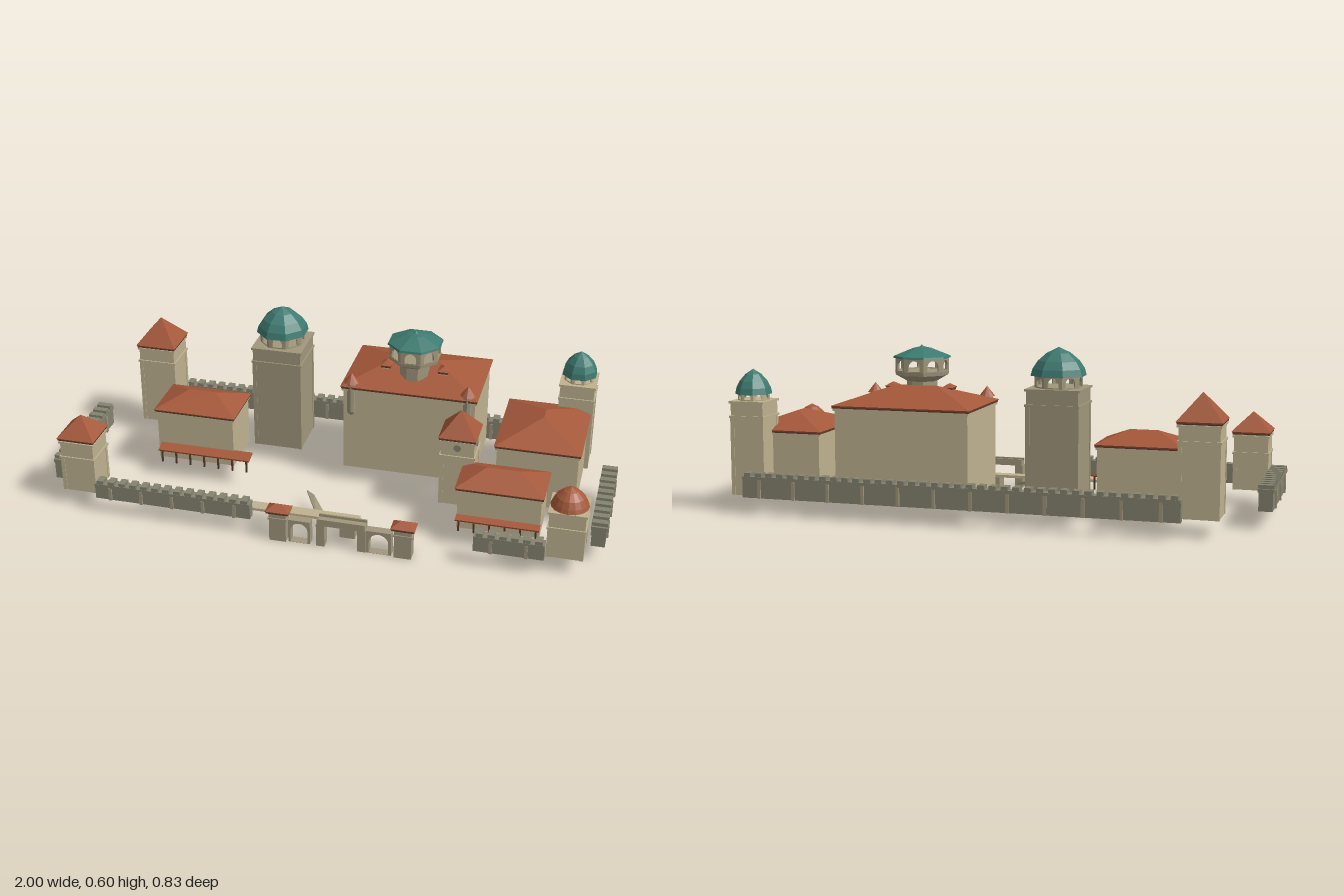
import * as THREE from 'three';
import { ConvexGeometry } from 'three/addons/geometries/ConvexGeometry.js';

const mat = (color) => new THREE.MeshStandardMaterial({ color, flatShading: true });
const stone = mat(0xbfb290), darkStone = mat(0xa1977c), wallStone = mat(0x85836f);
const tile = mat(0xa4583a), teal = mat(0x3d7a70), trim = mat(0x5a3a2a);
const GROUND = 0.06;

function add(parent, name, geometry, material, x = 0, y = 0, z = 0, ry = 0) {
  const m = new THREE.Mesh(geometry, material);
  m.name = name;
  m.position.set(x, y, z);
  m.rotation.y = ry;
  parent.add(m);
  return m;
}

function group(parent, name, x = 0, z = 0) {
  const g = new THREE.Group();
  g.name = name;
  g.position.set(x, 0, z);
  parent.add(g);
  return g;
}

// Box resting on y0 and reaching y1
const block = (p, name, m, w, d, y0, y1, x = 0, z = 0) =>
  add(p, name, new THREE.BoxGeometry(w, y1 - y0, d), m, x, (y0 + y1) / 2, z);

// Hipped roof, or a pyramid when the plan is square
function hipRoof(p, w, d, y0, y1, x = 0, z = 0) {
  const e = 0.006, pts = [];
  for (const sx of [-1, 1]) for (const sz of [-1, 1]) {
    pts.push(new THREE.Vector3(sx * w / 2, e, sz * d / 2));
    pts.push(new THREE.Vector3(sx * (w / 2 - 0.004), 0, sz * (d / 2 - 0.004)));
  }
  const rx = Math.max(0, (w - d) / 2), rz = Math.max(0, (d - w) / 2);
  pts.push(new THREE.Vector3(rx, y1 - y0, rz));
  if (rx + rz > 0.001) pts.push(new THREE.Vector3(-rx, y1 - y0, -rz));
  add(p, 'roof', new ConvexGeometry(pts), tile, x, y0, z);
  block(p, 'eaves', trim, w - 0.006, d - 0.006, y0 - 0.003, y0 + 0.001, x, z);
}

// Upright panel with an arched opening; its foot is at y = 0
function archPanel(w, h, openW, openH, depth, sill = 0.001) {
  const s = new THREE.Shape([[-w / 2, 0], [w / 2, 0], [w / 2, h], [-w / 2, h]].map((a) => new THREE.Vector2(...a)));
  const r = openW / 2, hole = new THREE.Path();
  hole.moveTo(-r, sill);
  hole.lineTo(-r, openH - r);
  hole.absarc(0, openH - r, r, Math.PI, 0, true);
  hole.lineTo(r, sill);
  hole.closePath();
  s.holes.push(hole);
  return new THREE.ExtrudeGeometry(s, { depth, bevelEnabled: false, curveSegments: 6 }).translate(0, 0, -depth / 2);
}

// Eight-sided ring of arches; a is the distance to a flat side
function arcade(p, a, y0, y1, m) {
  const h = y1 - y0, w = 2 * a * Math.tan(Math.PI / 8);
  const geo = archPanel(w, h, w * 0.58, h * 0.84, 0.008, h * 0.1);
  for (let i = 0; i < 8; i++) {
    const t = i * Math.PI / 4;
    add(p, 'arch', geo, m, Math.sin(t) * (a - 0.004), y0, Math.cos(t) * (a - 0.004), t);
  }
}

// Eight-sided turned form with flats facing the axes
function octagon(p, name, m, profile) {
  const k = 1 / Math.cos(Math.PI / 8);
  const geo = new THREE.LatheGeometry(profile.map(([r, y]) => new THREE.Vector2(r * k, y)), 8, Math.PI / 8);
  return add(p, name, geo, m);
}

function dome(p, r, y0, y1) {
  const h = y1 - y0;
  octagon(p, 'dome', teal, [[0, y0], [r, y0], [r * 0.93, y0 + h * 0.25], [r * 0.75, y0 + h * 0.52],
    [r * 0.42, y0 + h * 0.8], [r * 0.1, y0 + h * 0.95], [0, y1]]);
}

// Square shaft with string courses and corner strips
function shaft(p, w, top, bands, m) {
  block(p, 'shaft', m, w, w, GROUND, top);
  for (const y of bands) block(p, 'stringCourse', m, w + 0.01, w + 0.01, y, y + 0.008);
  for (const sx of [-1, 1]) for (const sz of [-1, 1])
    block(p, 'cornerStrip', m, 0.014, 0.014, GROUND, bands[0], sx * (w / 2 - 0.005), sz * (w / 2 - 0.005));
}

function roofTower(root, name, x, z, w, eave, top, bands, m) {
  const g = group(root, name, x, z);
  shaft(g, w, eave, bands, m);
  hipRoof(g, w + 0.017, w + 0.017, eave, top);
  return g;
}

function domeTower(root, name, x, z, w, deck, spring, top, r, m) {
  const g = group(root, name, x, z);
  shaft(g, w, deck, [deck - 0.06, deck - 0.008], m);
  arcade(g, r * 0.86, deck, spring, m);
  octagon(g, 'lanternCore', m, [[0, deck], [r * 0.86, deck], [r * 0.86, deck + 0.004], [0, deck + 0.004]]);
  dome(g, r, spring - 0.003, top);
}

function house(root, name, x, z, w, d, eave, top) {
  const g = group(root, name, x, z);
  block(g, 'walls', stone, w - 0.02, d - 0.02, GROUND, eave);
  block(g, 'cornice', stone, w - 0.01, d - 0.01, eave - 0.012, eave - 0.003);
  hipRoof(g, w, d, eave, top);
  return g;
}

// Sloping porch roof on posts
function porch(p, x, z, w, d, y, posts) {
  const roof = add(p, 'porchRoof', new THREE.BoxGeometry(w, 0.006, d * 1.04), tile, x, y, z);
  roof.rotation.x = 0.25;
  for (let i = 0; i < posts; i++) {
    const px = x - w / 2 + 0.012 + i * (w - 0.024) / (posts - 1);
    block(p, 'porchPost', trim, 0.006, 0.006, GROUND, y - 0.005, px, z + d / 2 - 0.006);
  }
}

// Crenellated wall along its local x axis
function rampart(root, name, x, z, length, depth, top, turned = false) {
  const g = group(root, name, x, z);
  if (turned) g.rotation.y = Math.PI / 2;
  block(g, 'wall', wallStone, length, depth - 0.012, GROUND, top);
  block(g, 'walk', wallStone, length, depth - 0.004, top - 0.012, top);
  const n = Math.round(length / 0.041);
  for (let i = 0; i < n; i++)
    block(g, 'merlon', wallStone, 0.024, depth - 0.006, top, top + 0.013, (i + 0.5) * length / n - length / 2);
  const k = Math.max(2, Math.round(length / 0.125));
  for (let i = 0; i < k; i++)
    block(g, 'buttress', darkStone, 0.011, depth, GROUND, top - 0.01, (i + 0.5) * length / k - length / 2);
}

export function createModel() {
  const root = new THREE.Group();
  root.name = 'walledPalace';

  // Great hall with its lantern, dormers and corner turrets
  const hall = house(root, 'greatHall', 0.24, -0.213, 0.5, 0.35, 0.388, 0.455);
  const lantern = group(hall, 'lantern', 0, 0.063);
  octagon(lantern, 'lanternBase', darkStone, [[0, 0.39], [0.05, 0.39], [0.05, 0.465], [0.086, 0.487], [0.088, 0.5], [0, 0.5]]);
  arcade(lantern, 0.087, 0.498, 0.548, darkStone);
  octagon(lantern, 'lanternRoof', teal, [[0, 0.546], [0.094, 0.546], [0.092, 0.553], [0.03, 0.58], [0.008, 0.585], [0, 0.592]]);
  for (const s of [-1, 1]) {
    block(hall, 'dormer', stone, 0.03, 0.04, 0.4, 0.441, s * 0.105, 0.05);
    hipRoof(hall, 0.04, 0.055, 0.44, 0.459, s * 0.105, 0.05);
    const t = group(hall, 'cornerTurret', s * 0.212, 0.153);
    add(t, 'turretBody', new THREE.CylinderGeometry(0.02, 0.02, 0.12, 10), darkStone, 0, 0.35, 0);
    add(t, 'turretFoot', new THREE.CylinderGeometry(0.02, 0.008, 0.02, 10), darkStone, 0, 0.28, 0);
    add(t, 'turretRoof', new THREE.ConeGeometry(0.028, 0.036, 10), tile, 0, 0.425, 0);
  }

  // Lower houses and their porches
  house(root, 'eastHall', 0.722, -0.117, 0.305, 0.365, 0.28, 0.341);
  house(root, 'gateHouse', 0.624, 0.175, 0.307, 0.19, 0.215, 0.264);
  porch(root, 0.624, 0.272, 0.29, 0.03, 0.108, 6);
  house(root, 'westHouse', -0.536, -0.04, 0.31, 0.21, 0.255, 0.306);
  porch(root, -0.495, 0.073, 0.35, 0.045, 0.115, 7);

  // Towers
  domeTower(root, 'greatTower', -0.273, -0.213, 0.18, 0.465, 0.508, 0.602, 0.089, darkStone);
  domeTower(root, 'eastTower', 0.817, -0.31, 0.122, 0.395, 0.42, 0.505, 0.06, stone);
  roofTower(root, 'northWestTower', -0.775, -0.272, 0.137, 0.375, 0.473, [0.31, 0.362], stone);
  roofTower(root, 'southWestTower', -0.872, 0.3, 0.122, 0.265, 0.34, [0.19, 0.25], stone);
  const mid = roofTower(root, 'courtTower', 0.45, 0.058, 0.118, 0.32, 0.41, [0.25, 0.308], stone);
  for (let i = 0; i < 4; i++) {
    const a = i * Math.PI / 2;
    const disc = new THREE.CylinderGeometry(0.013, 0.013, 0.006, 16).rotateX(Math.PI / 2);
    add(mid, 'medallion', disc, wallStone, Math.sin(a) * 0.059, 0.29, Math.cos(a) * 0.059, a);
  }
  const se = group(root, 'southEastTower', 0.865, 0.3);
  shaft(se, 0.122, 0.236, [0.17, 0.228], stone);
  const cap = [[0, 0.235], [0.066, 0.235], [0.06, 0.25], [0.048, 0.272], [0.025, 0.293], [0, 0.305]];
  add(se, 'roundRoof', new THREE.LatheGeometry(cap.map((a) => new THREE.Vector2(...a)), 16), tile);

  // Outer walls
  rampart(root, 'backWall', 0.045, -0.395, 1.55, 0.042, 0.136);
  rampart(root, 'westWall', -0.97, 0.077, 0.435, 0.06, 0.136, true);
  rampart(root, 'eastWall', 0.966, 0.058, 0.405, 0.06, 0.136, true);
  rampart(root, 'frontWallWest', -0.512, 0.375, 0.575, 0.042, 0.12);
  rampart(root, 'frontWallEast', 0.68, 0.375, 0.24, 0.042, 0.12);

  // Bridge: roofed end piers, arched side spans and a middle span on piers
  const bridge = group(root, 'bridge', 0, 0.386);
  for (const x of [-0.12, 0.323]) {
    block(bridge, 'endPier', darkStone, 0.06, 0.045, 0, 0.112, x);
    block(bridge, 'pierBand', darkStone, 0.068, 0.052, 0.085, 0.092, x);
    hipRoof(bridge, 0.085, 0.06, 0.112, 0.137, x);
  }
  for (const [x, w] of [[-0.044, 0.078], [0.238, 0.088]])
    add(bridge, 'archSpan', archPanel(w, 0.088, w * 0.78, 0.078, 0.032), darkStone, x, 0, 0);
  block(bridge, 'deck', darkStone, 0.17, 0.042, 0.085, 0.1, 0.105);
  for (const s of [-1, 1]) {
    block(bridge, 'parapet', darkStone, 0.17, 0.006, 0.1, 0.11, 0.105, s * 0.018);
    block(bridge, 'bridgePier', darkStone, 0.03, 0.036, 0, 0.086, 0.105 + s * 0.073);
  }

  // Low causeway behind the bridge
  const way = group(root, 'causeway', 0, 0.297);
  block(way, 'causewayDeck', stone, 0.775, 0.045, 0.052, 0.062, -0.243);
  block(way, 'causewayPier', darkStone, 0.055, 0.058, 0, 0.055, 0.11, 0.007);

  // Thin tilted ramp
  const ramp = [[-0.085, 0.06, 0.152], [-0.05, 0.06, 0.178], [0.005, 0.04, 0.25], [-0.02, 0.04, 0.265],
    [0.005, 0.032, 0.25], [-0.02, 0.032, 0.265], [-0.085, 0.055, 0.152], [-0.05, 0.052, 0.178]];
  add(root, 'ramp', new ConvexGeometry(ramp.map((a) => new THREE.Vector3(...a))), darkStone);
  return root;
}
